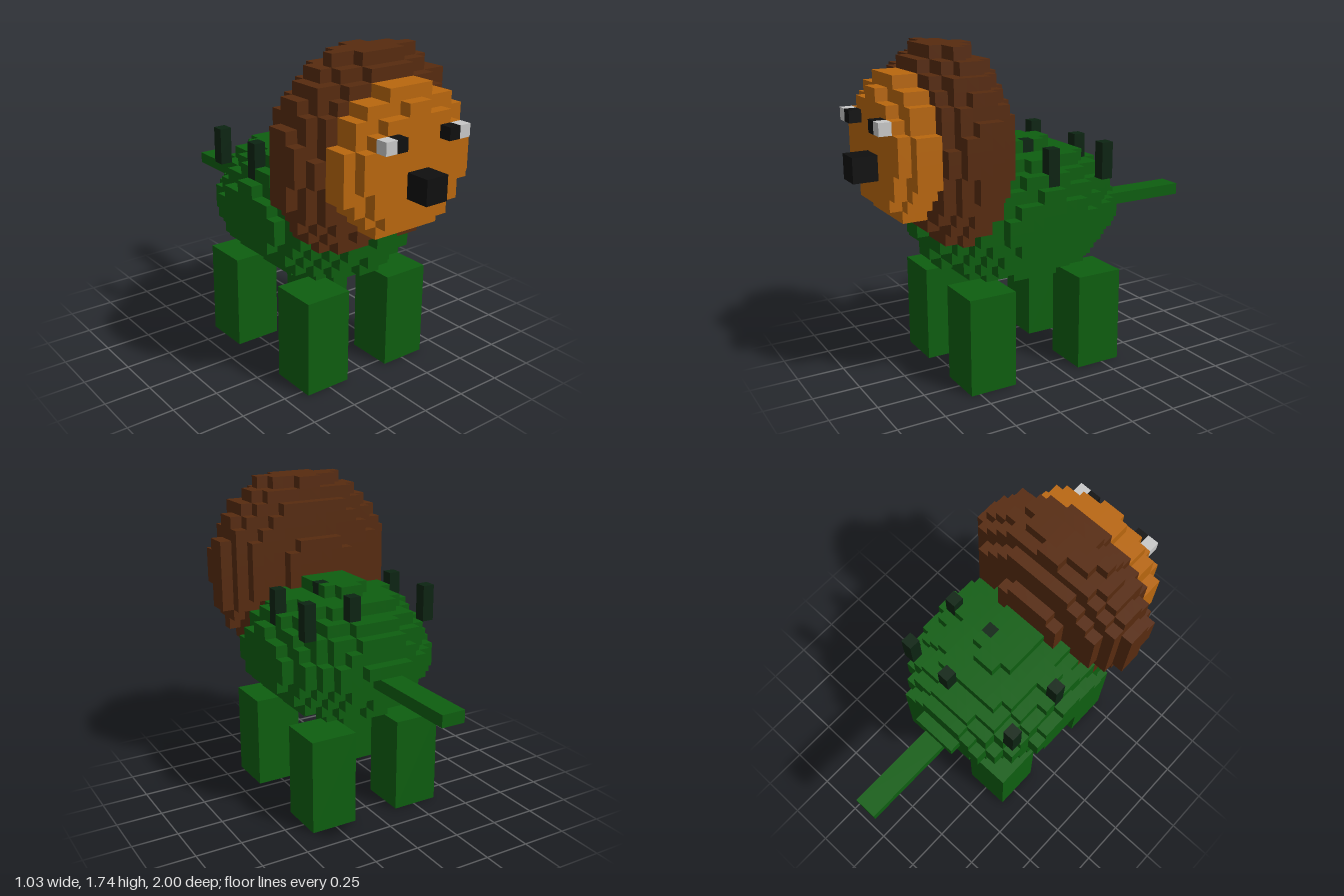
import * as THREE from 'three';

const U = 2 / 31;            // edge of one block
const Z0 = -15.5;            // z of block layer 0, in blocks

const colours = {
  green: 0x0e5e10, darkGreen: 0x0c2412, brown: 0x572b0f,
  orange: 0xb9670e, black: 0x0f0f0f, white: 0xc8c8c8,
};

export function createModel() {
  const model = new THREE.Group();
  model.name = 'blockAnimal';
  const mats = {};
  for (const [name, color] of Object.entries(colours)) {
    mats[name] = new THREE.MeshStandardMaterial({ color });
    mats[name].name = name;
  }

  // Plain box spanning block coordinates [x, y, z] to [x, y, z]
  function box(name, mat, a, b) {
    const s = b.map((v, i) => (v - a[i]) * U);
    const mesh = new THREE.Mesh(new THREE.BoxGeometry(...s), mats[mat]);
    mesh.position.set((a[0] + b[0]) / 2 * U, (a[1] + b[1]) / 2 * U, ((a[2] + b[2]) / 2 + Z0) * U);
    mesh.name = name;
    model.add(mesh);
  }

  // Block grid shared by the rounded parts; later parts replace earlier ones
  const grid = new Map();
  const key = (x, y, z) => `${x},${y},${z}`;
  const put = (part, x, y, z) => grid.set(key(x, y, z), { part, c: [x, y, z] });

  function ellipsoid(part, [cx, cy, cz], [rx, ry, rz]) {
    for (let x = -9; x < 9; x++)
      for (let y = 7; y < 28; y++)
        for (let z = 6; z < 30; z++) {
          const d = ((x + 0.5 - cx) / rx) ** 2 + ((y + 0.5 - cy) / ry) ** 2 + ((z + 0.5 - cz) / rz) ** 2;
          if (d <= 1) put(part, x, y, z);
        }
  }
  ellipsoid('body', [0, 13.15, 17], [7.2, 5.604, 8.75]);
  ellipsoid('mane', [0, 19.2, 23.2], [8.1, 8.13, 4]);
  ellipsoid('face', [0, 19.2, 27], [6.02, 5.61, 2.5]);

  // Two rows of three spikes on the back
  for (const z of [11, 16])
    for (const x of [-6, 1, 5])
      for (let y = 16; y < 19; y++) put('backSpikes', x, y, z);

  // Outer faces of every block of one part
  function blockMesh(part, mat) {
    const pos = [], nor = [], idx = [];
    for (const cell of grid.values()) {
      if (cell.part !== part) continue;
      for (let axis = 0; axis < 3; axis++)
        for (const side of [-1, 1]) {
          const n = [0, 0, 0];
          n[axis] = side;
          if (grid.has(key(...cell.c.map((v, i) => v + n[i])))) continue;
          const u = (axis + 1) % 3, v = (axis + 2) % 3, start = pos.length / 3;
          for (const [du, dv] of [[0, 0], [1, 0], [1, 1], [0, 1]]) {
            const p = [...cell.c];
            p[axis] += side > 0 ? 1 : 0;
            p[u] += du;
            p[v] += dv;
            pos.push(p[0] * U, p[1] * U, (p[2] + Z0) * U);
            nor.push(...n);
          }
          const order = side > 0 ? [0, 1, 2, 0, 2, 3] : [0, 2, 1, 0, 3, 2];
          idx.push(...order.map((i) => start + i));
        }
    }
    const g = new THREE.BufferGeometry();
    g.setAttribute('position', new THREE.Float32BufferAttribute(pos, 3));
    g.setAttribute('normal', new THREE.Float32BufferAttribute(nor, 3));
    g.setIndex(idx);
    const mesh = new THREE.Mesh(g, mats[mat]);
    mesh.name = part;
    model.add(mesh);
  }
  blockMesh('body', 'green');
  blockMesh('mane', 'brown');
  blockMesh('face', 'orange');
  blockMesh('backSpikes', 'darkGreen');

  // Legs, eyes and pupils, mirrored left and right
  for (const [side, s] of [['left', 1], ['right', -1]]) {
    const pair = (name, mat, x0, x1, y0, y1, z0, z1) =>
      box(side + name, mat, [Math.min(s * x0, s * x1), y0, z0], [Math.max(s * x0, s * x1), y1, z1]);
    pair('FrontLeg', 'green', 2, 6, 0, 8, 20, 24);
    pair('BackLeg', 'green', 2, 6, 0, 8, 10, 14);
    pair('Eye', 'white', 3, 4, 21, 22, 29, 30);
    pair('Pupil', 'black', 2, 3, 21, 22, 29, 30);
  }

  box('nose', 'black', [-1, 17, 29], [1, 19, 31]);
  box('tail', 'green', [-1, 12, 0], [1, 13, 8]);
  return model;
}
